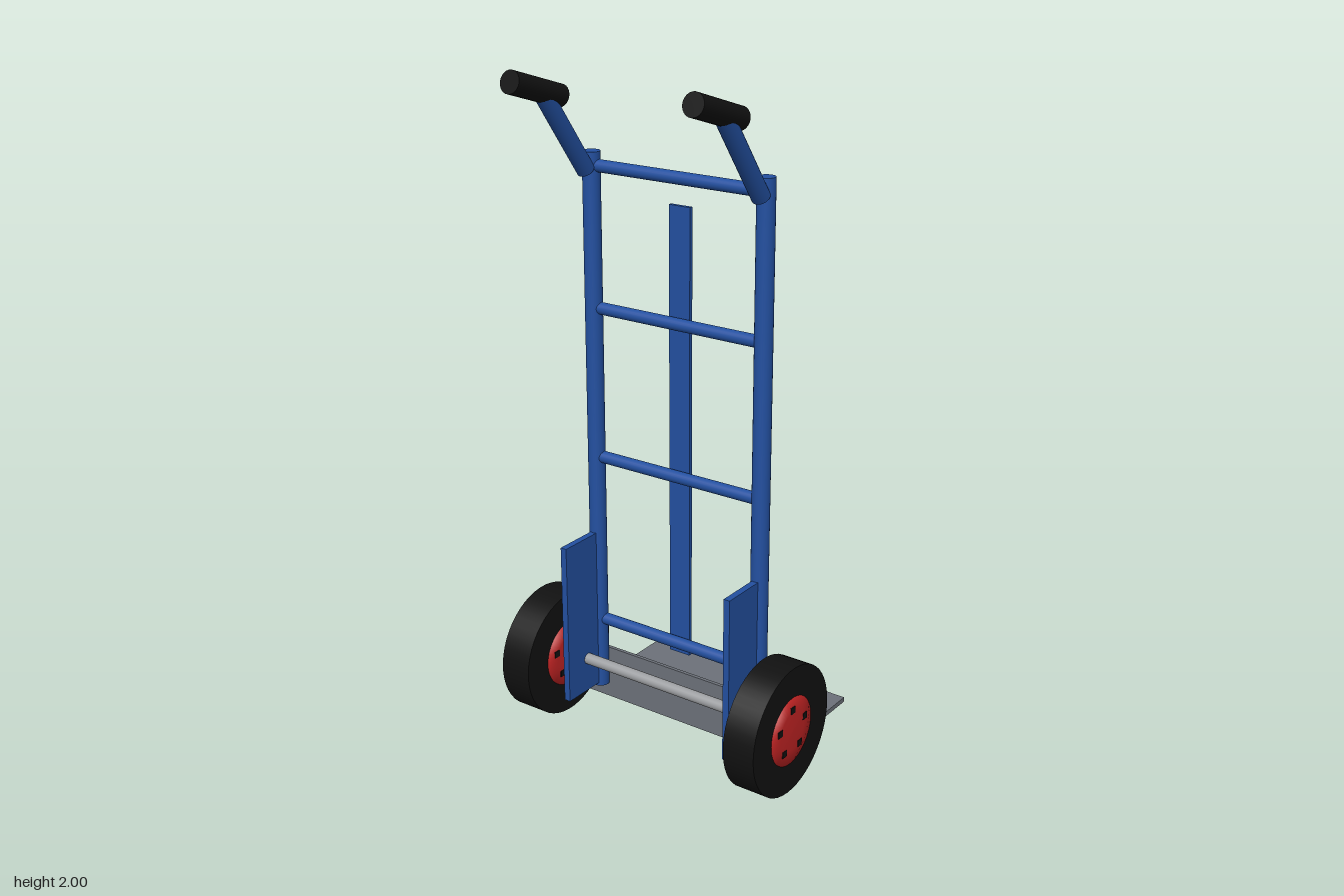
import * as THREE from 'three';

export function createModel() {
  const model = new THREE.Group();
  model.name = 'handTruck';
  const mat = (name, color) => {
    const m = new THREE.MeshStandardMaterial({ color });
    m.name = name;
    return m;
  };
  const blue = mat('blue paint', 0x2350a0);
  const grey = mat('grey steel', 0x6c7179);
  const silver = mat('axle metal', 0x9c9ea1);
  const black = mat('black rubber', 0x111111);
  const red = mat('red hub', 0xc42424);

  const add = (name, geometry, material, parent = model) => {
    const mesh = new THREE.Mesh(geometry, material);
    mesh.name = name;
    parent.add(mesh);
    return mesh;
  };
  // Box given by its min and max corners
  const box = (name, a, b, material, parent) => {
    const mesh = add(name, new THREE.BoxGeometry(b[0] - a[0], b[1] - a[1], b[2] - a[2]), material, parent);
    mesh.position.set((a[0] + b[0]) / 2, (a[1] + b[1]) / 2, (a[2] + b[2]) / 2);
    return mesh;
  };
  // Round bar between two points
  const bar = (name, a, b, radius, material) => {
    const p = new THREE.Vector3(...a), q = new THREE.Vector3(...b);
    const mesh = add(name, new THREE.CylinderGeometry(radius, radius, p.distanceTo(q), 24), material);
    mesh.position.copy(p).lerp(q, 0.5);
    mesh.quaternion.setFromUnitVectors(new THREE.Vector3(0, 1, 0), q.sub(p).normalize());
    return mesh;
  };
  const lathe = (points) => new THREE.LatheGeometry(points.map((p) => new THREE.Vector2(...p)), 48);

  // Frame: rungs and the flat centre slat behind them
  for (const y of [0.305, 0.835, 1.29, 1.7]) {
    bar('rung', [-0.288, y, 0.033], [0.288, y, 0.033], 0.018, blue);
  }
  box('centreSlat', [-0.035, 0.265, 0.007], [0.035, 1.62, 0.019], blue);

  // Toe plate with its upright flange
  box('toePlate', [-0.345, 0.03, -0.372], [0.345, 0.045, 0.02], grey);
  box('toeFlange', [-0.345, 0.03, 0.009], [0.345, 0.2, 0.02], grey);

  bar('axle', [-0.36, 0.197, 0.109], [0.36, 0.197, 0.109], 0.017, silver);

  for (const s of [-1, 1]) {
    const x = s * 0.288;
    // Post, handle, grip and axle bracket of one side
    bar('post', [x, 0.08, 0.035], [x, 1.74, 0.035], 0.026, blue);
    bar('handle', [x, 1.69, 0.06], [x, 1.925, 0.235], 0.026, blue);
    bar('grip', [x, 1.908, 0.163], [x, 1.97, 0.363], 0.032, black);
    box('axleBracket', [x - 0.01, 0.09, 0.035], [x + 0.01, 0.595, 0.2], blue);

    // Wheel built around y, then turned so +y points outward
    const wheel = new THREE.Group();
    wheel.name = 'wheel';
    wheel.position.set(s * 0.4, 0.197, 0.109);
    wheel.rotation.z = -s * Math.PI / 2;
    model.add(wheel);
    const tread = add('tyre', new THREE.CylinderGeometry(0.195, 0.195, 0.1, 48), black, wheel);
    tread.rotation.y = Math.PI / 48;
    add('hub', lathe([
      [0, -0.055], [0.06, -0.054], [0.115, -0.049],
      [0.115, 0.049], [0.06, 0.054], [0, 0.055],
    ]), red, wheel);
    // Five dark square holes on each hub face
    for (const side of [-1, 1]) {
      for (let i = 0; i < 5; i++) {
        const a = (i / 5) * Math.PI * 2;
        const hole = add('hubHole', new THREE.BoxGeometry(0.02, 0.004, 0.02), black, wheel);
        // Local x maps to model height, so the first hole sits at the top
        hole.position.set(-s * Math.cos(a) * 0.067, side * 0.0535, Math.sin(a) * 0.067);
      }
    }
  }
  return model;
}
